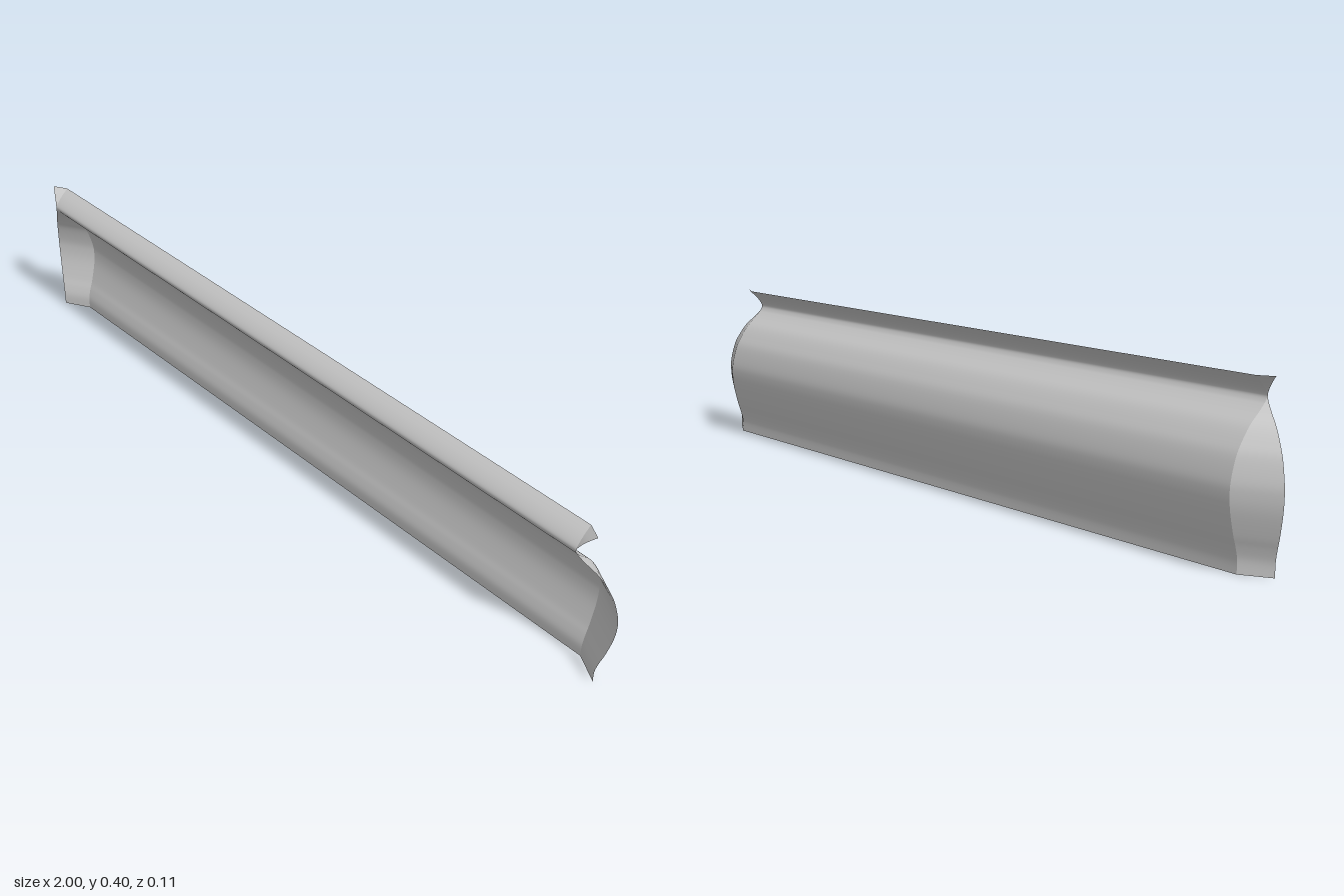
import * as THREE from 'three';

// moulding section as (z, y), from the bottom edge to the top lip
const SECTION = [
  [-0.023, 0], [-0.0225, 0.03], [-0.029, 0.058], [-0.038, 0.085], [-0.05, 0.134],
  [-0.0535, 0.17], [-0.051, 0.2], [-0.038, 0.244], [-0.022, 0.272], [0, 0.301],
  [0.026, 0.324], [0.04, 0.337], [0.048, 0.346], [0.0525, 0.357], [0.047, 0.369],
  [0.033, 0.385], [0.0135, 0.402],
];
const DEPTH = 0.0535;                      // half of the depth
const SLOPE = Math.sqrt(3);                // end returns turn forward by 30 degrees
const CORNER_X = 1 - SLOPE * DEPTH;        // x of the vertical bend lines

// surface between two edge lines; edges(p) gives [leftPoint, rightPoint] at a section point
function strip(points, edges) {
  const position = [], index = [];
  points.forEach((p, i) => {
    const [a, b] = edges(p);
    position.push(...a, ...b);
    if (i > 0) {
      const k = 2 * i;
      index.push(k - 2, k - 1, k + 1, k - 2, k + 1, k);
    }
  });
  const geometry = new THREE.BufferGeometry();
  geometry.setAttribute('position', new THREE.Float32BufferAttribute(position, 3));
  geometry.setIndex(index);
  geometry.computeVertexNormals();
  return geometry;
}

export function createModel() {
  const group = new THREE.Group();
  group.name = 'moulding';
  const material = new THREE.MeshStandardMaterial({ color: 0xcccccc, side: THREE.DoubleSide });

  const curve = new THREE.SplineCurve(SECTION.map(([z, y]) => new THREE.Vector2(z, y)));
  const points = curve.getPoints(64);

  const add = (name, edges) => {
    const mesh = new THREE.Mesh(strip(points, edges), material);
    mesh.name = name;
    group.add(mesh);
  };

  // long straight run
  add('mainRun', (p) => [[-CORNER_X, p.y, p.x], [CORNER_X, p.y, p.x]]);

  // short returns, bent forward and cut square at their ends
  for (const side of [1, -1]) {
    add(side > 0 ? 'leftReturn' : 'rightReturn', (p) => {
      const endZ = (DEPTH + p.x) / 2;
      const corner = [side * CORNER_X, p.y, p.x];
      const end = [side * (1 - SLOPE * endZ), p.y, endZ];
      return side > 0 ? [corner, end] : [end, corner];
    });
  }
  return group;
}
